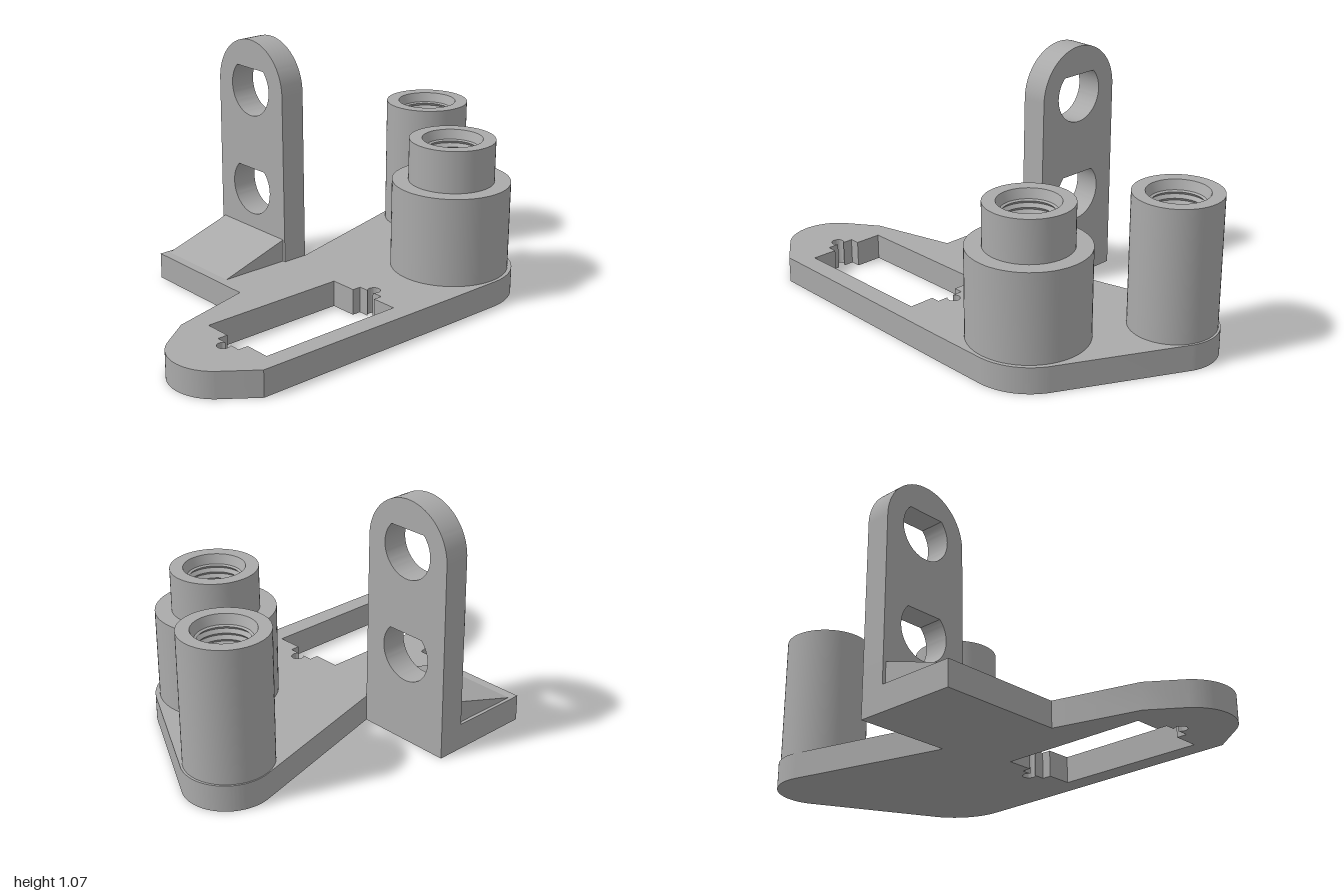
import * as THREE from 'three';
import { toCreasedNormals } from 'three/addons/utils/BufferGeometryUtils.js';

const PLATE = 0.115; // base plate thickness
const deg = Math.PI / 180;

export function createModel() {
  const group = new THREE.Group();
  const grey = new THREE.MeshStandardMaterial({ color: 0xaaaaaa });
  grey.name = 'grey plastic';

  const add = (name, geometry) => {
    const mesh = new THREE.Mesh(toCreasedNormals(geometry, 0.5), grey);
    mesh.name = name;
    group.add(mesh);
    return mesh;
  };
  const extrude = (shape, depth) =>
    new THREE.ExtrudeGeometry(shape, { depth, bevelEnabled: false, curveSegments: 32 });

  // Base plate outline, drawn with shape y = -z
  const plate = new THREE.Shape();
  plate.absarc(0.32, -0.8, 0.2, 217 * deg, 323 * deg, false);
  plate.lineTo(0.583, -0.785);
  plate.lineTo(0.587, -0.37);
  plate.lineTo(0.594, 0.2);
  plate.absarc(0.32, 0.47, 0.275, 0, 63 * deg, false);
  plate.absarc(-0.16, 0.81, 0.19, 63 * deg, 194.6 * deg, false);
  plate.lineTo(-0.16, 0.055);
  plate.lineTo(-0.6, 0.055);
  plate.lineTo(-0.6, -0.415);
  plate.lineTo(-0.03, -0.415);
  plate.lineTo(0.065, -0.785);
  plate.closePath();

  // Rectangular slot with a stepped notch and a round screw hole at each end
  const slot = new THREE.Path();
  slot.moveTo(0.14, -0.04);
  slot.lineTo(0.26, -0.04);
  slot.lineTo(0.26, 0);
  slot.absarc(0.322, 0.022, 0.027, 235 * deg, -55 * deg, true);
  slot.lineTo(0.388, 0);
  slot.lineTo(0.388, -0.04);
  slot.lineTo(0.502, -0.04);
  slot.lineTo(0.502, -0.705);
  slot.lineTo(0.388, -0.705);
  slot.lineTo(0.388, -0.75);
  slot.absarc(0.322, -0.772, 0.027, 55 * deg, -235 * deg, true);
  slot.lineTo(0.26, -0.75);
  slot.lineTo(0.26, -0.705);
  slot.lineTo(0.14, -0.705);
  slot.closePath();
  plate.holes.push(slot);
  add('basePlate', extrude(plate, PLATE).rotateX(-Math.PI / 2));

  // Upright wall with a rounded top and two teardrop holes
  const wall = new THREE.Shape();
  wall.moveTo(-0.6, PLATE);
  wall.lineTo(-0.16, PLATE);
  wall.absarc(-0.386, 0.86, 0.214, 0, Math.PI, false);
  wall.closePath();
  for (const y of [0.405, 0.86]) {
    const drop = new THREE.Path();
    drop.moveTo(-0.386, y + 0.176);
    drop.absarc(-0.386, y, 0.125, 135 * deg, 405 * deg, false);
    drop.closePath();
    wall.holes.push(drop);
  }
  add('uprightWall', extrude(wall, 0.115).translate(0, 0, -0.055));

  // Wedge bracing the foot of the wall, profile drawn with shape x = -z
  const wedge = new THREE.Shape();
  wedge.moveTo(-0.06, PLATE);
  wedge.lineTo(-0.06, 0.215);
  wedge.lineTo(-0.375, PLATE);
  wedge.closePath();
  add('wedgeBrace', extrude(wedge, 0.412).rotateY(Math.PI / 2).translate(-0.585, 0, 0));

  // Hollow posts: outer profile, chamfered mouth, ridged bore and closed floor
  const top = 0.69, floor = 0.2, ridges = 16;
  const bore = [[0.13, top], [0.115, 0.65]];
  for (let i = 0; i <= ridges; i++) {
    const y = 0.645 - (i / ridges) * (0.64 - floor);
    bore.push([0.105, y], [0.118, y - 0.013]);
  }
  bore.push([0.118, floor - 0.02], [0, floor - 0.02]);
  const post = (name, x, z, outer) => {
    const points = [...outer, ...bore].map(([r, y]) => new THREE.Vector2(r, y));
    add(name, new THREE.LatheGeometry(points, 64)).position.set(x, 0, z);
  };
  post('plainPost', -0.16, -0.805, [[0.185, PLATE], [0.185, top]]);
  post('steppedPost', 0.325, -0.468,
    [[0.255, PLATE], [0.255, 0.505], [0.185, 0.505], [0.185, top]]);

  return group;
}
